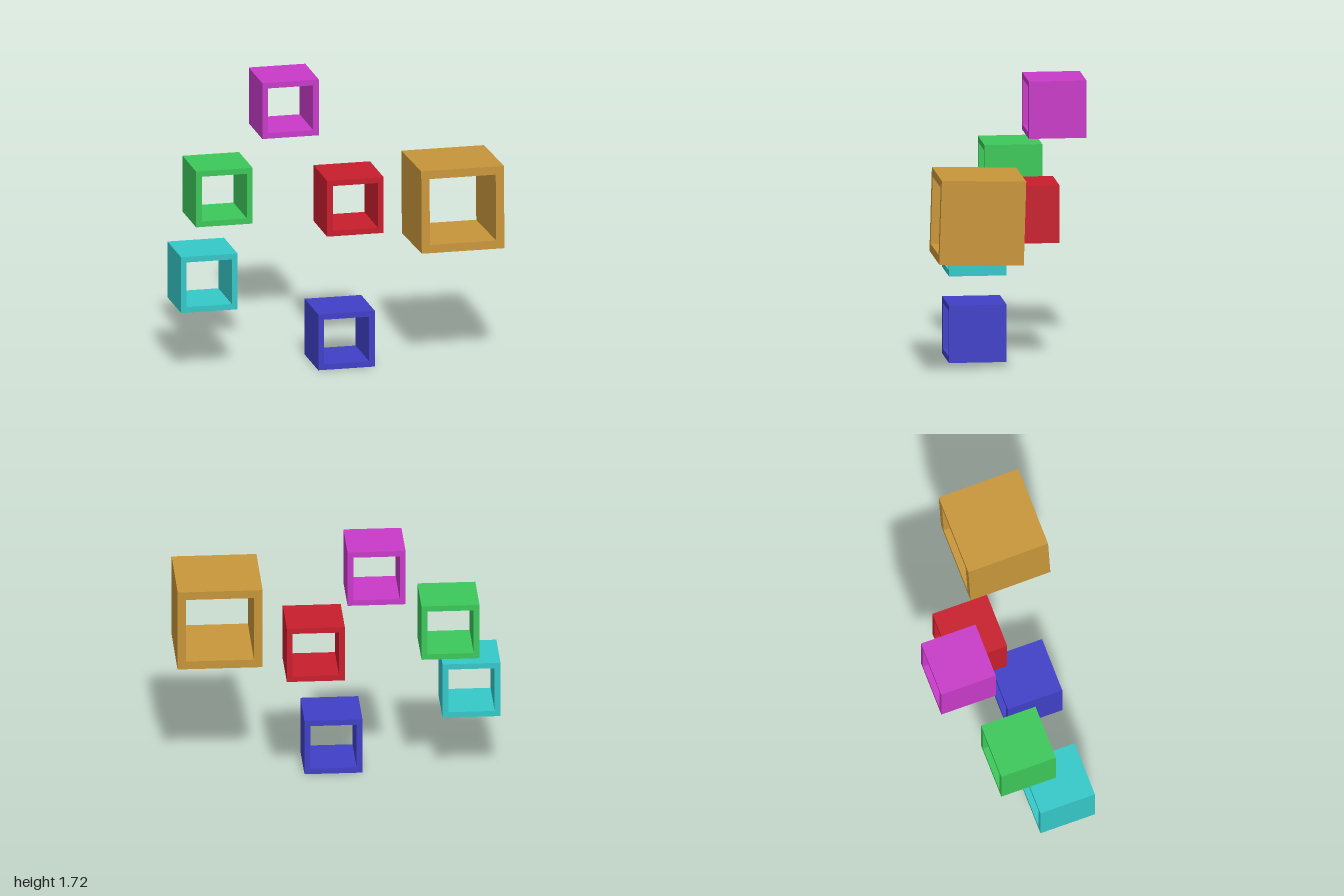
import * as THREE from 'three';

// Square tube, open along z, centred on the origin
function frameGeometry(size) {
  const h = size / 2, i = h * 0.8;
  const shape = new THREE.Shape([
    new THREE.Vector2(-h, -h), new THREE.Vector2(h, -h),
    new THREE.Vector2(h, h), new THREE.Vector2(-h, h),
  ]);
  shape.holes.push(new THREE.Path([
    new THREE.Vector2(-i, -i), new THREE.Vector2(-i, i),
    new THREE.Vector2(i, i), new THREE.Vector2(i, -i),
  ]));
  const geometry = new THREE.ExtrudeGeometry(shape, { depth: size, bevelEnabled: false });
  return geometry.translate(0, 0, -h);
}

export function createModel() {
  const group = new THREE.Group();
  group.name = 'floatingOpenCubes';

  // name, colour, edge length, centre, tilt about x
  const cubes = [
    ['magentaCube', 0xc83ac8, 0.36, [-0.2, 1.54, -0.34], 0],
    ['greenCube', 0x3cc85a, 0.36, [-0.675, 1.065, -0.12], 0],
    ['cyanCube', 0x35c8c8, 0.36, [-0.82, 0.58, 0.085], 0],
    ['redCube', 0xc81e2d, 0.36, [0.162, 0.945, -0.13], 0],
    ['blueCube', 0x4040c8, 0.36, [0.03, 0.181, 0.185], 0],
    ['largeGoldCube', 0xc8963a, 0.527, [0.736, 1.01, 0.247], -0.029],
  ];
  for (const [name, color, size, centre, tilt] of cubes) {
    const mesh = new THREE.Mesh(frameGeometry(size), new THREE.MeshStandardMaterial({ color }));
    mesh.name = name;
    mesh.position.set(...centre);
    mesh.rotation.x = tilt;
    group.add(mesh);
  }
  return group;
}
